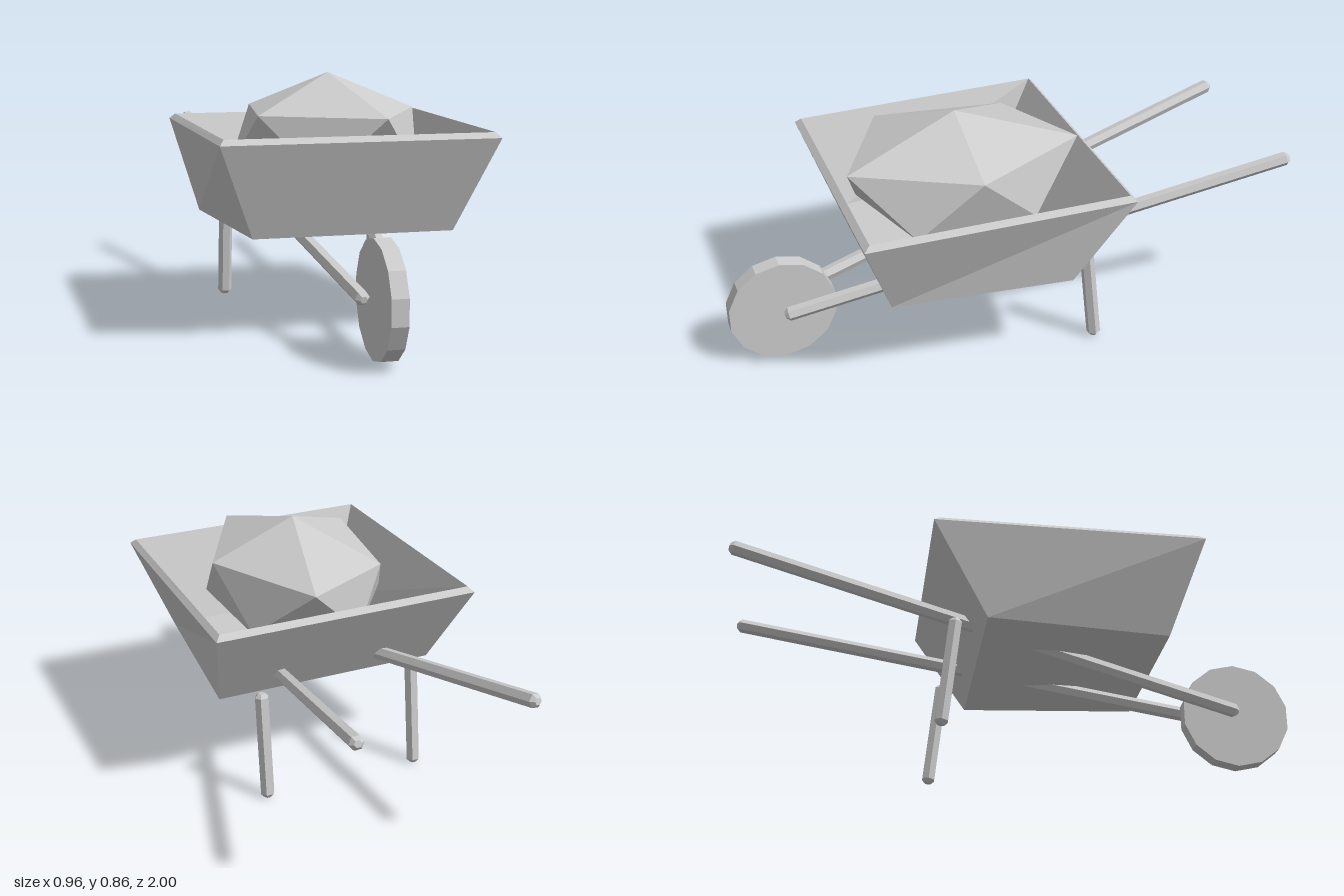
import * as THREE from 'three';
import { ConvexGeometry } from 'three/addons/geometries/ConvexGeometry.js';

const V = (x, y, z) => new THREE.Vector3(x, y, z);

// Faceted normals for a low-poly look
function facet(geometry) {
  const g = geometry.index ? geometry.toNonIndexed() : geometry;
  g.computeVertexNormals();
  return g;
}

// Six-sided pole with bevelled ends running from a to b
function poleGeometry(a, b, r) {
  const h = a.distanceTo(b) / 2, bevel = 0.014;
  const profile = [[0, -h], [r * 0.5, -h], [r, -h + bevel], [r, h - bevel], [r * 0.5, h], [0, h]]
    .map(([x, y]) => new THREE.Vector2(x, y));
  const g = new THREE.LatheGeometry(profile, 6, Math.PI / 2);
  const dir = b.clone().sub(a).normalize();
  g.applyQuaternion(new THREE.Quaternion().setFromUnitVectors(V(0, 1, 0), dir));
  const mid = a.clone().add(b).multiplyScalar(0.5);
  g.translate(mid.x, mid.y, mid.z);
  return facet(g);
}

// Open tray: loft through outer floor, outer rim, inner rim and inner floor
function trayGeometry() {
  // y, front half width, front z, back half width, back z
  const levels = [
    [0.35, 0.34, 0.505, 0.405, -0.125],
    [0.667, 0.465, 0.618, 0.48, -0.317],
    [0.685, 0.449, 0.597, 0.462, -0.297],
    [0.368, 0.322, 0.482, 0.388, -0.115],
  ];
  const pos = [], index = [];
  for (const [y, fx, fz, bx, bz] of levels) {
    pos.push(-fx, y, fz, fx, y, fz, bx, y, bz, -bx, y, bz);
  }
  for (let l = 0; l < 3; l++) {
    for (let i = 0; i < 4; i++) {
      const a = l * 4 + i, b = l * 4 + (i + 1) % 4;
      index.push(a, b, b + 4, a, b + 4, a + 4);
    }
  }
  index.push(0, 3, 2, 0, 2, 1); // underside
  index.push(12, 13, 14, 12, 14, 15); // inner floor
  const g = new THREE.BufferGeometry();
  g.setAttribute('position', new THREE.Float32BufferAttribute(pos, 3));
  g.setIndex(index);
  return facet(g);
}

// Squashed twenty-faced boulder
function loadGeometry() {
  const upper = [[0.308, 0.16], [0.093, 0.57], [-0.29, 0.365], [-0.225, -0.095], [0.1, -0.258]];
  const lower = [[0.255, 0.38], [-0.11, 0.495], [-0.352, 0.16], [-0.105, -0.175], [0.245, -0.05]];
  return new ConvexGeometry([
    V(0, 0.86, 0.16),
    ...upper.map(([x, z]) => V(x, 0.733, z)),
    ...lower.map(([x, z]) => V(x, 0.533, z)),
    V(0, 0.408, 0.16),
  ]);
}

export function createModel() {
  const group = new THREE.Group();
  group.name = 'wheelbarrow';
  const grey = new THREE.MeshStandardMaterial({ color: 0xcccccc });
  grey.name = 'light grey';

  const add = (name, geometry) => {
    const mesh = new THREE.Mesh(geometry, grey);
    mesh.name = name;
    group.add(mesh);
  };

  add('tray', trayGeometry());
  add('load', loadGeometry());

  // Solid front wheel
  const wheel = new THREE.CylinderGeometry(0.193, 0.193, 0.056, 14, 1, false, Math.PI / 2);
  wheel.rotateZ(Math.PI / 2);
  wheel.translate(0, 0.202, 0.812);
  add('wheel', facet(wheel));

  // Handles and legs, mirrored
  for (const [side, s] of [['left', 1], ['right', -1]]) {
    add(side + 'Handle', poleGeometry(V(s * 0.057, 0.203, 0.812), V(s * 0.307, 0.61, -0.995), 0.025));
    add(side + 'Leg', poleGeometry(V(s * 0.288, 0.006, -0.265), V(s * 0.288, 0.395, -0.222), 0.025));
  }
  return group;
}
